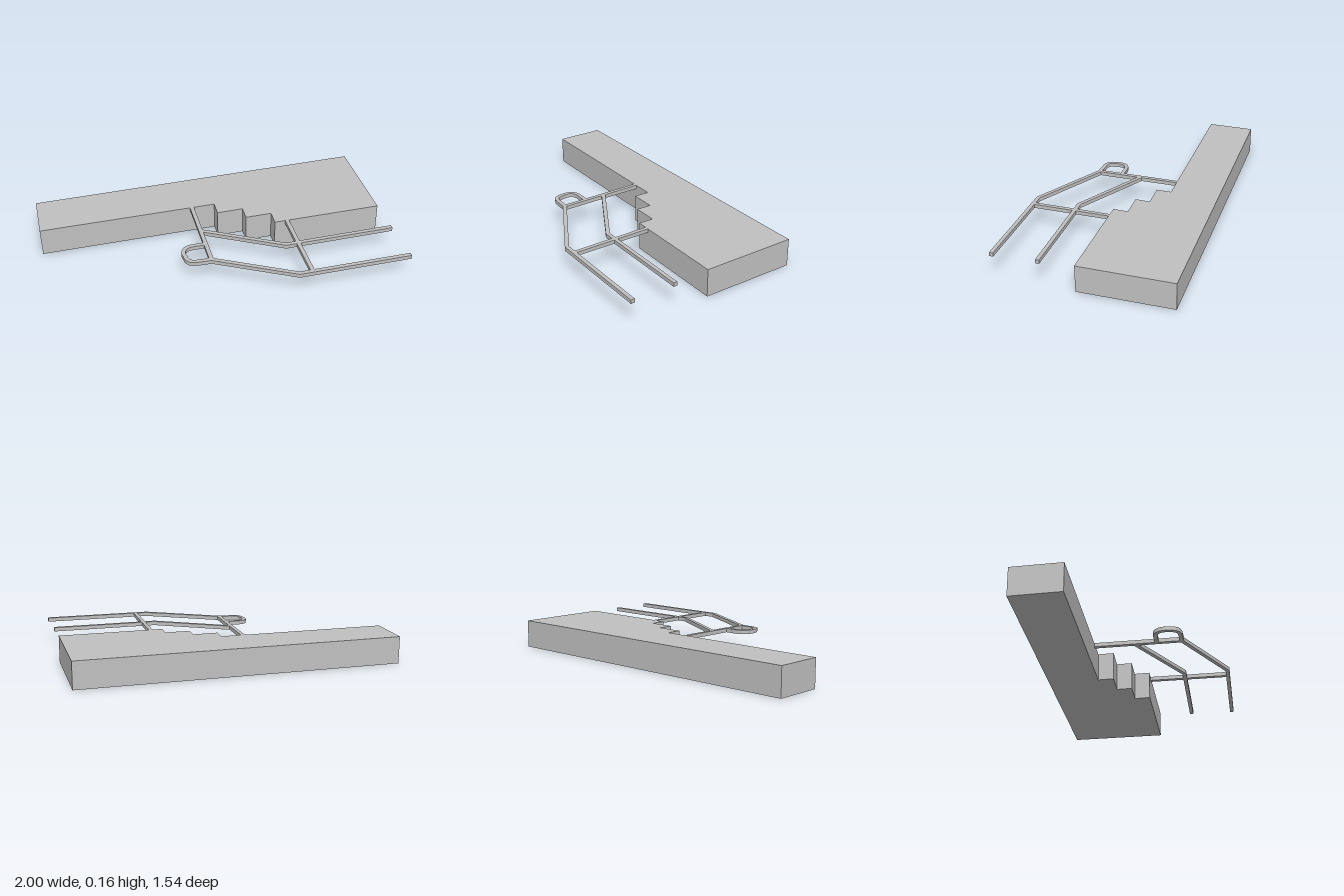
import * as THREE from 'three';

const HEIGHT = 0.157; // thickness of the stair slab
const BAR = 0.022;    // square handrail bar

// Upright prism from an outline of [x, z] points, between two heights
function prism(points, y0, y1, material, name) {
  const shape = new THREE.Shape(points.map(([x, z]) => new THREE.Vector2(x, -z)));
  const geometry = new THREE.ExtrudeGeometry(shape, { depth: y1 - y0, bevelEnabled: false });
  geometry.rotateX(-Math.PI / 2).translate(0, y0, 0);
  const mesh = new THREE.Mesh(geometry, material);
  mesh.name = name;
  return mesh;
}

// Square bar following a flat path, with mitred corners
function bar(path, material, name) {
  const p = path.map(([x, z]) => new THREE.Vector2(x, z));
  const normal = (a, b) => {
    const d = b.clone().sub(a).normalize();
    return new THREE.Vector2(-d.y, d.x);
  };
  const left = [], right = [];
  p.forEach((pt, i) => {
    const before = normal(p[Math.max(i - 1, 0)], p[Math.max(i, 1)]);
    const after = normal(p[Math.min(i, p.length - 2)], p[Math.min(i + 1, p.length - 1)]);
    const m = before.clone().add(after).normalize();
    m.multiplyScalar(BAR / 2 / m.dot(after));
    left.push([pt.x + m.x, pt.y + m.y]);
    right.unshift([pt.x - m.x, pt.y - m.y]);
  });
  return prism([...left, ...right], HEIGHT - BAR, HEIGHT, material, name);
}

// Points of a rounded corner
function bend(a, control, b) {
  const v = (q) => new THREE.Vector2(q[0], q[1]);
  return new THREE.QuadraticBezierCurve(v(a), v(control), v(b))
    .getPoints(8).map((q) => [q.x, q.y]);
}

export function createModel() {
  const model = new THREE.Group();
  model.name = 'staircase';
  const grey = new THREE.MeshStandardMaterial({ color: 0xc0c0c0 });
  grey.name = 'concrete grey';

  // Stair slab lying on its side, with three steps cut along one edge
  model.add(prism([
    [-1, 0.58], [-0.807, 0.768],
    [-0.136, 0.063], [-0.075, 0.124],
    [0.023, 0.018], [0.083, 0.078],
    [0.182, -0.027], [0.242, 0.034],
    [0.658, -0.4], [0.27, -0.773],
  ], 0, HEIGHT, grey, 'stairSlab'));

  // Handrail
  const handrail = new THREE.Group();
  handrail.name = 'handrail';
  handrail.add(
    bar([[-0.227, 0.153], [0.12, 0.487]], grey, 'lowerPost'),
    bar([[0.284, -0.022], [0.615, 0.296]], grey, 'upperPost'),
    bar([[0.12, 0.487], [0.567, 0.348], [0.992, -0.092]], grey, 'topRail'),
    bar([[-0.057, 0.307], [0.39, 0.173], [0.805, -0.263]], grey, 'middleRail'),
    bar([
      [0.02, 0.394],
      ...bend([-0.025, 0.44], [-0.07, 0.485], [-0.027, 0.528]),
      ...bend([-0.01, 0.539], [0.027, 0.575], [0.065, 0.54]),
      [0.12, 0.487],
    ], grey, 'endLoop'),
  );
  model.add(handrail);
  return model;
}
